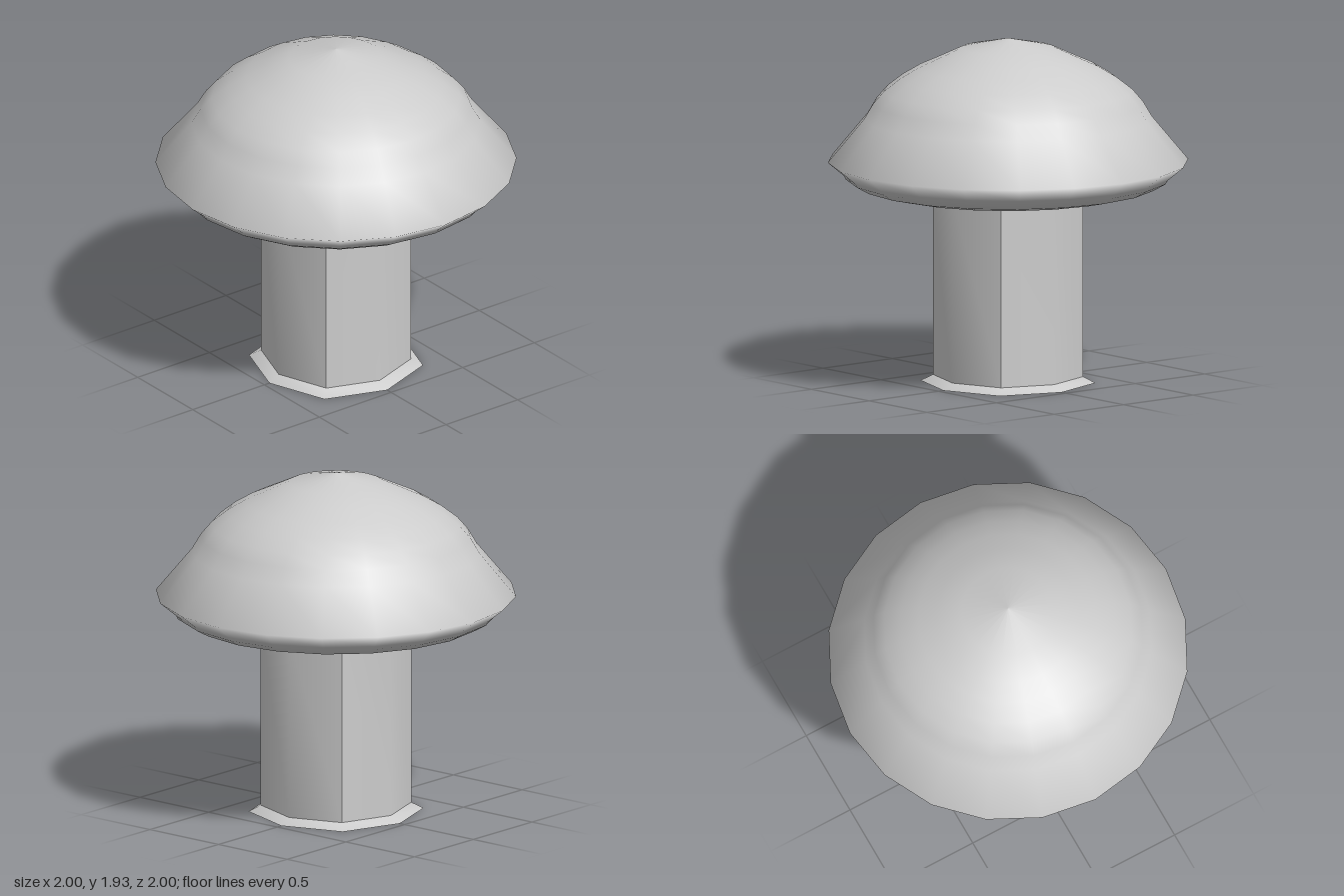
import * as THREE from 'three';
import { toCreasedNormals } from 'three/addons/utils/BufferGeometryUtils.js';

const material = new THREE.MeshStandardMaterial({ color: 0xcccccc });

// Profiles run from bottom to top as [radius, height]
function lathe(profile, sides) {
  return new THREE.LatheGeometry(profile.map(([r, y]) => new THREE.Vector2(r, y)), sides);
}

function addPart(group, name, geometry) {
  const mesh = new THREE.Mesh(geometry, material);
  mesh.name = name;
  group.add(mesh);
}

export function createModel() {
  const group = new THREE.Group();
  group.name = 'mushroom';

  // Cap: shallow underside, pointed rim and dome, smoothly shaded
  addPart(group, 'cap', lathe([
    [0, 1.035], [0.3, 1.037], [0.5, 1.05], [0.7, 1.075], [0.83, 1.105],
    [0.9, 1.145], [0.91, 1.165], [1, 1.24],
    [0.8, 1.48], [0.75, 1.565], [0.69, 1.635], [0.6, 1.705], [0.5, 1.765],
    [0.4, 1.81], [0.26, 1.875], [0, 1.93],
  ], 20));

  // Stem: eight sides with a flared foot; diagonal corners stand out slightly
  const stem = lathe([[0, 0], [0.465, 0], [0.4, 0.035], [0.4, 1.08]], 8);
  const p = stem.attributes.position;
  for (let i = 0; i < p.count; i++) {
    const x = p.getX(i), z = p.getZ(i);
    const s = Math.abs(x * z) > 0.01 ? 1.045 : 1;
    p.setXYZ(i, x * s, p.getY(i), z * s);
  }
  addPart(group, 'stem', toCreasedNormals(stem, Math.PI / 4));

  return group;
}
